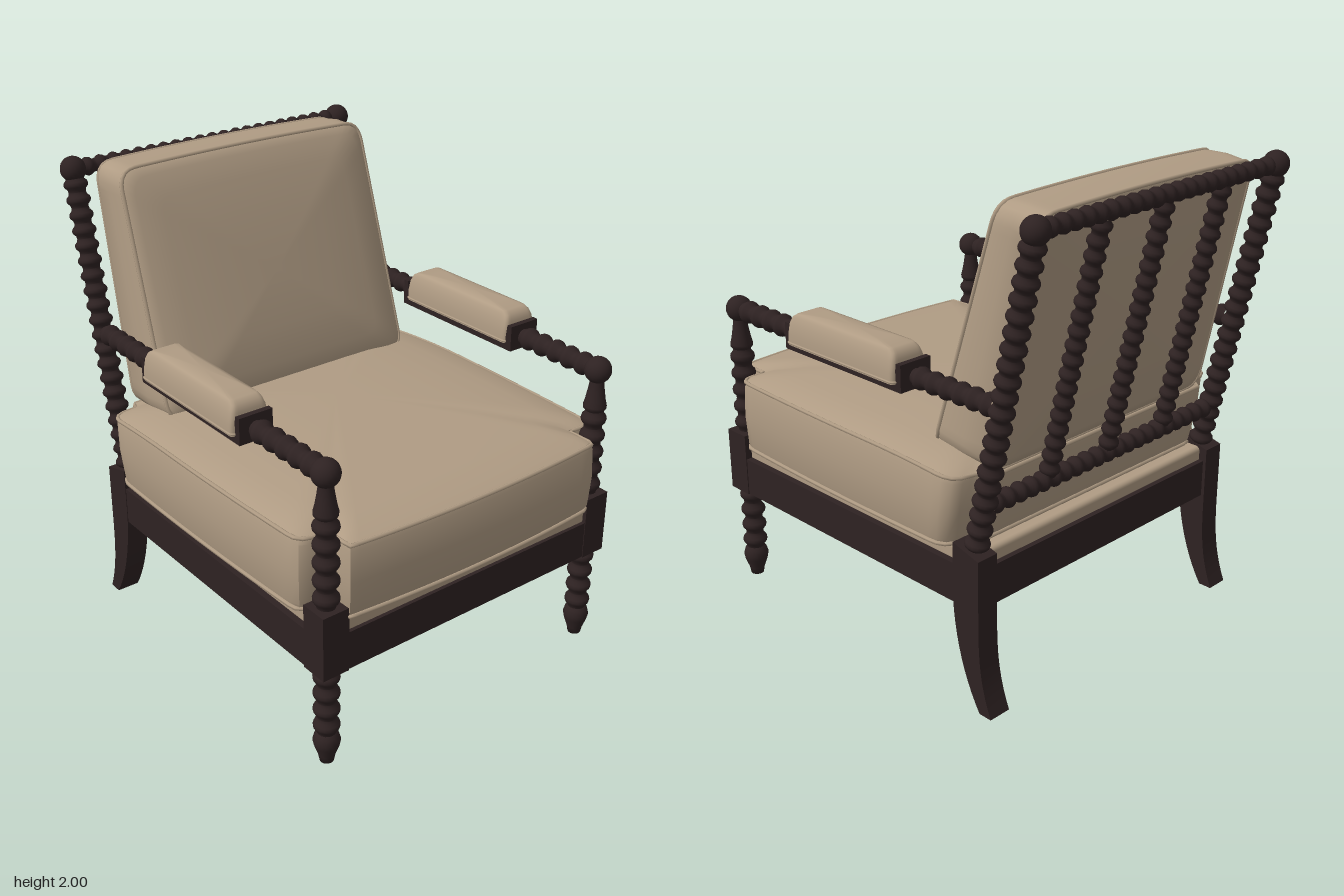
import * as THREE from 'three';
import { toCreasedNormals } from 'three/addons/utils/BufferGeometryUtils.js';
import { RoundedBoxGeometry } from 'three/addons/geometries/RoundedBoxGeometry.js';

const V = (x, y, z) => new THREE.Vector3(x, y, z);

export function createModel() {
  const group = new THREE.Group();
  group.name = 'spoolArmchair';
  const wood = new THREE.MeshStandardMaterial({ color: 0x2e2222 });
  wood.name = 'darkWood';
  const fabric = new THREE.MeshStandardMaterial({ color: 0xb09c84 });
  fabric.name = 'tanFabric';

  const add = (name, geometry, material) => {
    const mesh = new THREE.Mesh(geometry, material);
    mesh.name = name;
    group.add(mesh);
    return mesh;
  };
  const box = (name, x0, x1, y0, y1, z0, z1) =>
    add(name, new THREE.BoxGeometry(x1 - x0, y1 - y0, z1 - z0), wood)
      .position.set((x0 + x1) / 2, (y0 + y1) / 2, (z0 + z1) / 2);
  const ball = (name, p, r) =>
    add(name, new THREE.SphereGeometry(r, 20, 14), wood).position.copy(p);

  // Turned rod: a row of round beads between two points
  const beads = (name, from, to, count, r) => {
    const length = from.distanceTo(to), step = length / count, profile = [];
    for (let i = 0; i < count; i++) {
      for (let k = 0; k < 7; k++) {
        const u = (k / 6) * 2 - 1;
        profile.push(new THREE.Vector2(r * Math.max(0.7, Math.sqrt(1 - u * u)), (i + (u * 0.98 + 1) / 2) * step));
      }
    }
    const mesh = add(name, new THREE.LatheGeometry(profile, 16), wood);
    mesh.position.copy(from);
    mesh.quaternion.setFromUnitVectors(V(0, 1, 0), to.clone().sub(from).normalize());
  };
  const turned = (name, x, z, pts) =>
    add(name, new THREE.LatheGeometry(pts.map((p) => new THREE.Vector2(...p)), 18), wood).position.set(x, 0, z);

  // Side silhouette (z, y) extruded across x
  const sidePlate = (name, shape, x, width) => {
    const g = new THREE.ExtrudeGeometry(shape, { depth: width, bevelEnabled: false, curveSegments: 10 });
    g.translate(0, 0, -width / 2).rotateY(-Math.PI / 2).translate(x, 0, 0);
    add(name, toCreasedNormals(g, 0.6), wood);
  };

  // Cushion: an outline lofted through [scale, height] rings, warped into place, with piping
  const cushion = (name, shape, profile, pipes, warp) => {
    const outline = shape.getSpacedPoints(140).slice(0, -1);
    const n = outline.length, pos = [], index = [];
    const at = (p, s, h) => warp(V(p.x * s, h, -p.y * s));
    profile.forEach(([s, h]) => outline.forEach((p) => pos.push(...at(p, s, h).toArray())));
    for (let i = 0; i < profile.length - 1; i++) {
      for (let j = 0; j < n; j++) {
        const k = (j + 1) % n, a = i * n + j, b = i * n + k;
        if (profile[i][0] > 0) index.push(a, b, b + n);
        if (profile[i + 1][0] > 0) index.push(a, b + n, a + n);
      }
    }
    const g = new THREE.BufferGeometry();
    g.setAttribute('position', new THREE.Float32BufferAttribute(pos, 3));
    g.setIndex(index);
    add(name, toCreasedNormals(g, 0.8), fabric);
    pipes.forEach(([s, h, r]) => {
      const path = new THREE.CatmullRomCurve3(outline.map((p) => at(p, s, h)), true);
      add(name + 'Piping', new THREE.TubeGeometry(path, 180, r, 6, true), fabric);
    });
  };
  const roundedRect = (w, h, r) => {
    const s = new THREE.Shape(), x = w / 2, y = h / 2;
    s.moveTo(-x + r, -y).lineTo(x - r, -y).quadraticCurveTo(x, -y, x, -y + r);
    s.lineTo(x, y - r).quadraticCurveTo(x, y, x - r, y);
    s.lineTo(-x + r, y).quadraticCurveTo(-x, y, -x, y - r);
    s.lineTo(-x, -y + r).quadraticCurveTo(-x, -y, -x + r, -y);
    return s;
  };

  // Seat frame and upholstered deck
  box('frontRail', -0.64, 0.64, 0.435, 0.6, 0.82, 0.887);
  box('backRail', -0.66, 0.66, 0.435, 0.6, -0.65, -0.585);
  const deck = add('seatDeck', new RoundedBoxGeometry(1.43, 0.075, 1.5, 3, 0.02), fabric);
  deck.position.set(0, 0.6225, 0.122);

  // Back frame follows one raked line
  const onBack = (x, y) => V(x, y, -0.6 - (0.28 * (y - 0.68)) / 1.265);
  beads('backTopRail', onBack(-0.65, 1.94), onBack(0.65, 1.94), 21, 0.039);
  beads('backLowerRail', onBack(-0.66, 0.85), onBack(0.66, 0.85), 21, 0.042);
  for (const x of [-0.345, 0, 0.345]) beads('backSpindle', onBack(x, 0.87), onBack(x, 1.92), 18, 0.042);

  const backLeg = new THREE.Shape();
  backLeg.moveTo(-0.53, 0.69).lineTo(-0.53, 0.45);
  backLeg.bezierCurveTo(-0.54, 0.28, -0.59, 0.12, -0.67, 0);
  backLeg.lineTo(-0.73, 0);
  backLeg.bezierCurveTo(-0.67, 0.14, -0.665, 0.25, -0.665, 0.4);
  backLeg.lineTo(-0.665, 0.655).closePath();

  const armBase = new THREE.Shape();
  armBase.moveTo(-0.28, 1.217).lineTo(0.41, 1.217).lineTo(0.41, 1.328).lineTo(0.385, 1.328);
  armBase.lineTo(0.375, 1.25).lineTo(-0.245, 1.25).lineTo(-0.255, 1.328).lineTo(-0.28, 1.328).closePath();

  for (const side of [-1, 1]) {
    const x = side * 0.686, z = 0.83, armY = 1.267;
    const label = (part) => (side > 0 ? 'left' : 'right') + part;
    box(label('SideRail'), Math.min(side * 0.68, side * 0.742), Math.max(side * 0.68, side * 0.742), 0.435, 0.6, -0.56, 0.78);

    // Front leg, corner block and arm post
    turned(label('FrontFoot'), x, z, [[0, 0], [0.028, 0], [0.034, 0.03], [0.05, 0.075], [0.055, 0.1], [0.048, 0.125], [0.036, 0.14]]);
    beads(label('FrontLeg'), V(x, 0.135, z), V(x, 0.435, z), 4, 0.054);
    box(label('FrontBlock'), x - 0.06, x + 0.06, 0.432, 0.71, 0.77, 0.89);
    beads(label('ArmPost'), V(x, 0.71, z), V(x, 1.09, z), 5, 0.053);
    turned(label('ArmPostNeck'), x, z, [[0.036, 1.088], [0.047, 1.1], [0.048, 1.112], [0.041, 1.14], [0.034, 1.18], [0.029, 1.215], [0.03, 1.25]]);
    ball(label('ArmKnob'), V(x, armY, z), 0.056);

    // Arm and pad
    beads(label('ArmFront'), V(x, armY, 0.41), V(x, armY, 0.79), 5, 0.049);
    beads(label('ArmRear'), V(x, armY, -0.7), V(x, armY, -0.28), 6, 0.046);
    sidePlate(label('ArmBase'), armBase, x, 0.15);
    cushion(label('ArmPad'), roundedRect(0.172, 0.635, 0.02),
      [[0, 1.245], [1, 1.245], [1, 1.29], [0.985, 1.335], [0.95, 1.362], [0.88, 1.376], [0.6, 1.383], [0, 1.384]],
      [[1, 1.254, 0.005]],
      (v) => V(side * 0.69 + v.x * (1 - 0.2 * Math.max(0, (v.y - 1.31) / 0.07)), v.y, v.z + 0.065));

    // Rear leg and back post
    sidePlate(label('BackLeg'), backLeg, side * 0.695, 0.1);
    beads(label('BackPost'), onBack(x, 0.66), onBack(x, 1.91), 20, 0.051);
    ball(label('BackKnob'), onBack(x, 1.94), 0.054);
  }

  // Seat cushion, notched around the arm posts and back posts
  const seat = new THREE.Shape();
  seat.moveTo(-0.63, -0.9).quadraticCurveTo(0, -0.962, 0.63, -0.9);
  seat.lineTo(0.635, -0.765).lineTo(0.72, -0.765).quadraticCurveTo(0.755, -0.76, 0.76, -0.7);
  seat.quadraticCurveTo(0.79, -0.1, 0.775, 0.47).quadraticCurveTo(0.77, 0.54, 0.7, 0.545);
  seat.lineTo(0.645, 0.55).lineTo(0.635, 0.598);
  seat.lineTo(-0.635, 0.598).lineTo(-0.645, 0.55).lineTo(-0.7, 0.545).quadraticCurveTo(-0.77, 0.54, -0.775, 0.47);
  seat.quadraticCurveTo(-0.79, -0.1, -0.76, -0.7).quadraticCurveTo(-0.755, -0.76, -0.72, -0.765);
  seat.lineTo(-0.635, -0.765).closePath();
  cushion('seatCushion', seat,
    [[0, 0.645], [0.9, 0.65], [0.985, 0.665], [0.995, 0.69], [1.003, 0.82], [0.997, 0.95], [0.985, 0.98],
      [0.93, 0.998], [0.8, 1.015], [0.55, 1.033], [0.25, 1.042], [0, 1.044]],
    [[0.992, 0.672, 0.009], [0.992, 0.975, 0.009]],
    (v) => {
      const up = (v.y - 0.65) / 0.35, back = Math.max(0, -v.z - 0.1) / 0.48;
      v.z -= 0.05 * (up - 0.5) * back;
      v.y -= 0.03 * up * back * back;
      return v;
    });

  // Back cushion, thick at the foot and leaning on the frame
  cushion('backCushion', roundedRect(1.27, 1, 0.08),
    [[0, -0.04], [0.9, -0.02], [0.965, 0], [0.99, 0.06], [1.003, 0.5], [0.995, 0.92], [0.98, 0.99],
      [0.92, 1.06], [0.75, 1.13], [0.45, 1.19], [0, 1.21]],
    [[0.984, 0.03, 0.008], [0.99, 0.965, 0.009]],
    (v) => {
      const t = 0.5 - v.z, h = v.y;
      const zBack = -0.612 - 0.22 * t, zFront = -0.3 - 0.325 * t;
      const bow = 0.012 * (1 - (v.x / 0.635) ** 2) * t;
      return V(v.x * (1 - 0.025 * t), 0.945 + 1.025 * t + 0.03 * Math.min(h, 1) * (1 - 0.6 * t) + bow, zBack + (zFront - zBack) * h);
    });

  return group;
}
